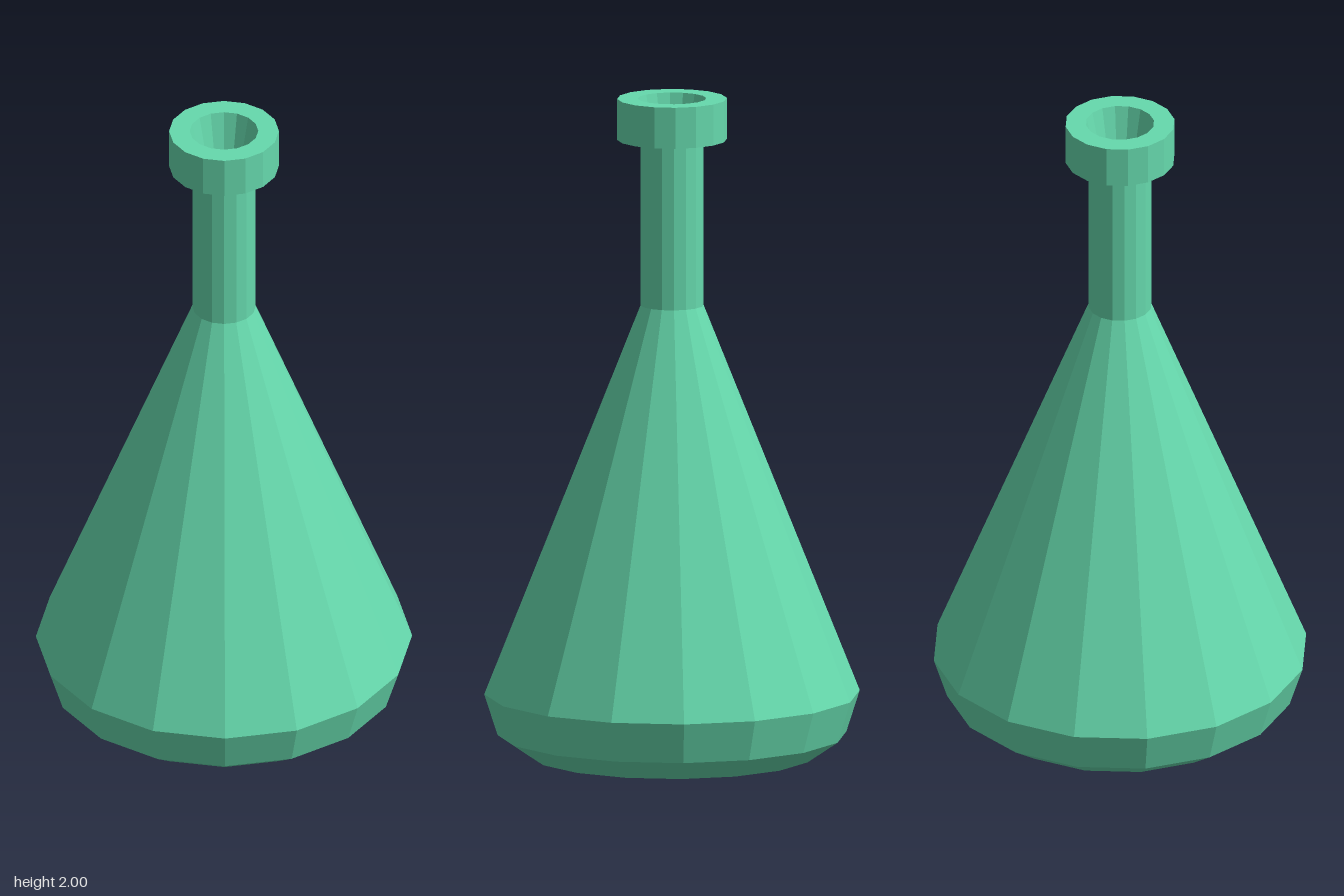
import * as THREE from 'three';

const SIDES = 16;

export function createModel() {
  const model = new THREE.Group();
  model.name = 'flask';
  const material = new THREE.MeshStandardMaterial({ color: 0x66d9ad, flatShading: true });

  // Faceted surface of revolution from [radius, height] pairs
  const addLathe = (name, profile) => {
    const points = profile.map(([r, y]) => new THREE.Vector2(r, y));
    const mesh = new THREE.Mesh(new THREE.LatheGeometry(points, SIDES), material);
    mesh.name = name;
    model.add(mesh);
  };

  // Flat base, chamfered foot and conical body
  addLathe('body', [[0, 0], [0.43, 0], [0.525, 0.065], [0.565, 0.19], [0.095, 1.37]]);

  // Straight neck
  addLathe('neck', [[0.095, 1.37], [0.095, 1.875]]);

  // Thick collar around the mouth
  addLathe('lip', [[0.095, 1.875], [0.165, 1.875], [0.165, 2], [0.103, 2]]);

  // Tapering bore with a closed floor
  addLathe('bore', [[0.103, 2], [0.076, 1.875], [0.076, 1.4], [0, 1.4]]);

  return model;
}
